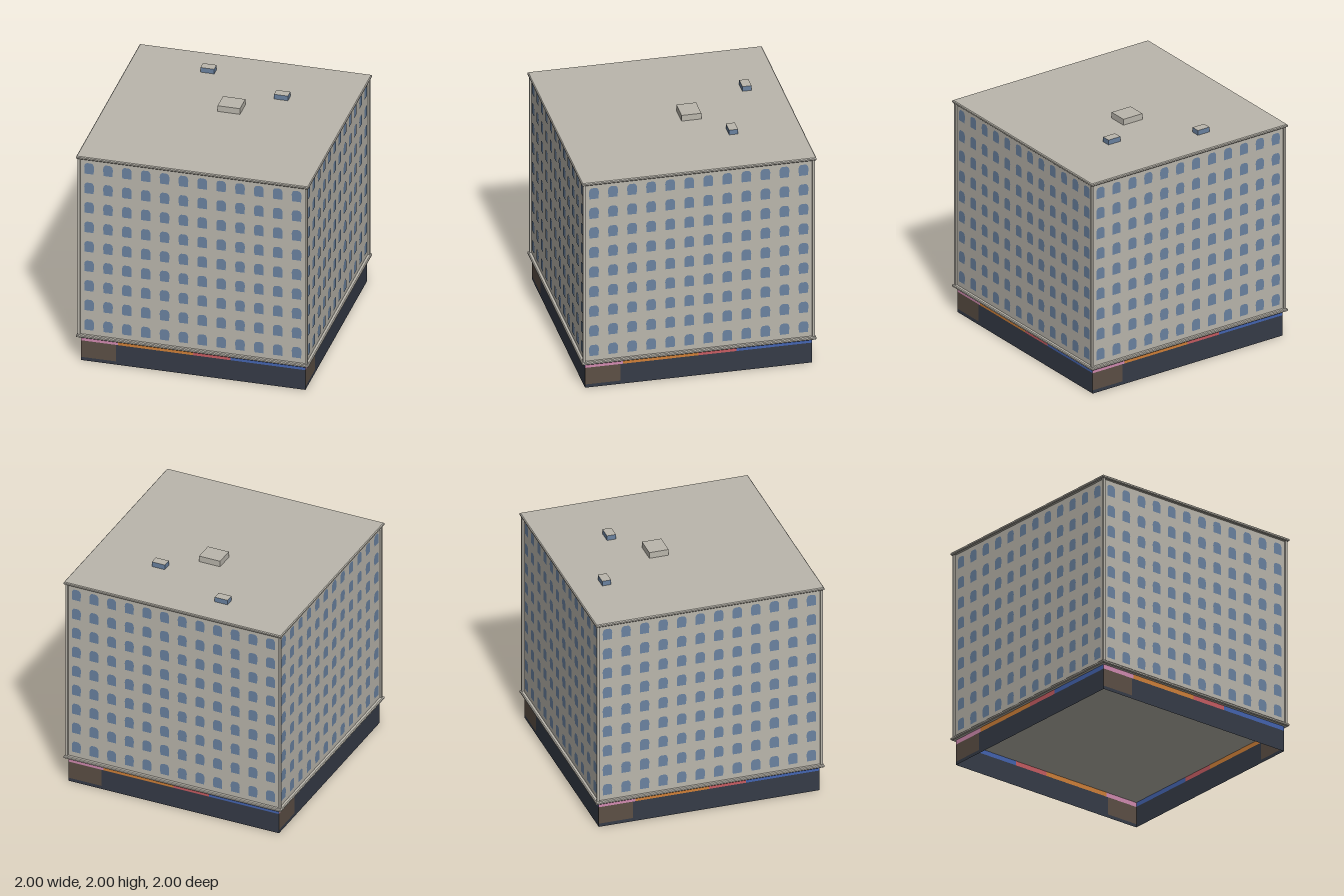
import * as THREE from 'three';
import { mergeGeometries } from 'three/addons/utils/BufferGeometryUtils.js';

const mat = (name, color, extra = {}) => {
  const m = new THREE.MeshStandardMaterial({ color, ...extra });
  m.name = name;
  return m;
};
const open = { side: THREE.DoubleSide };

export function createModel() {
  const stone = mat('stone', 0xbab6ac);
  const glass = mat('glass', 0x6a82a0);
  const shopfront = mat('dark shopfront', 0x353b47, open);
  const door = mat('brown door', 0x5c4f45, open);
  const pink = mat('pink awning', 0xd18bb0, open);
  const orange = mat('orange awning', 0xce7f38, open);
  const red = mat('red awning', 0xc65c62, open);
  const blue = mat('blue awning', 0x4464b0, open);

  const model = new THREE.Group();
  model.name = 'apartmentBlock';

  const add = (parent, name, geometry, material, x = 0, y = 0, z = 0) => {
    const mesh = new THREE.Mesh(geometry, material);
    mesh.name = name;
    mesh.position.set(x, y, z);
    parent.add(mesh);
    return mesh;
  };
  const box = (name, x0, x1, y0, y1, z0, z1, material) =>
    add(model, name, new THREE.BoxGeometry(x1 - x0, y1 - y0, z1 - z0), material,
      (x0 + x1) / 2, (y0 + y1) / 2, (z0 + z1) / 2);

  // Main block and its corner posts
  box('mainWalls', -0.972, 0.972, 0.25, 1.925, -0.972, 0.972, stone);
  for (const sx of [-1, 1]) for (const sz of [-1, 1]) {
    add(model, 'cornerPost', new THREE.BoxGeometry(0.021, 1.675, 0.021), stone,
      sx * 0.978, 1.0875, sz * 0.978);
  }

  // Square slabs with softened edges: lower ledge and roof
  const slab = (name, y0, y1) => {
    const profile = [[0, y0], [0.993, y0], [1, y0 + 0.007], [1, y1 - 0.007], [0.993, y1], [0, y1]]
      .map(([r, y]) => new THREE.Vector2(r * Math.SQRT2, y));
    const g = new THREE.LatheGeometry(profile, 4).rotateY(Math.PI / 4).toNonIndexed();
    g.computeVertexNormals();
    add(model, name, g, stone);
  };
  slab('lowerLedge', 0.227, 0.253);
  slab('roofSlab', 1.92, 1.946);

  // Roof housings
  const glazed = [glass, glass, stone, stone, glass, glass];
  box('stairHousing', -0.07, 0.123, 1.946, 2.0, -0.222, -0.053, stone);
  box('roofVent', -0.385, -0.267, 1.946, 1.99, -0.74, -0.663, glazed);
  box('roofVent', 0.325, 0.445, 1.946, 1.99, -0.46, -0.383, glazed);

  // Arched window outline, centred on its bay
  const arch = new THREE.Shape();
  arch.moveTo(-0.039, -0.051);
  arch.lineTo(0.039, -0.051);
  arch.lineTo(0.042, 0.012);
  arch.bezierCurveTo(0.041, 0.036, 0.03, 0.051, 0.014, 0.051);
  arch.lineTo(-0.014, 0.051);
  arch.bezierCurveTo(-0.03, 0.051, -0.041, 0.036, -0.042, 0.012);
  const pane = new THREE.ShapeGeometry(arch, 5);
  const panes = [];
  for (let row = 0; row < 9; row++) {
    for (let col = 0; col < 12; col++) {
      panes.push(pane.clone().translate((col - 5.5) * 0.1624, 0.349 + row * 0.1852, 0));
    }
  }
  const windowGrid = mergeGeometries(panes);

  // Ground floor panels of one side: name, x0, x1, y0, y1, material
  const E = 0.967, top = 0.228, sill = 0.187;
  const panels = [
    ['shopfront', -0.665, E, 0, sill, shopfront],
    ['doorStep', -E, -0.665, 0, 0.03, shopfront],
    ['door', -E, -0.665, 0.03, sill, door],
    ['pinkAwning', -E, -0.645, sill, top, pink],
    ['orangeAwning', -0.645, -0.002, sill, top, orange],
    ['redAwning', -0.002, 0.322, sill, top, red],
    ['blueAwning', 0.322, E, sill, top, blue],
  ];

  // The same facade on all four sides
  ['front', 'left', 'back', 'right'].forEach((side, i) => {
    const facade = new THREE.Group();
    facade.name = side + 'Facade';
    facade.rotation.y = i * Math.PI / 2;
    add(facade, 'windows', windowGrid, glass, 0, 0, 0.975);
    for (const [name, x0, x1, y0, y1, material] of panels) {
      add(facade, name, new THREE.PlaneGeometry(x1 - x0, y1 - y0), material,
        (x0 + x1) / 2, (y0 + y1) / 2, E);
    }
    model.add(facade);
  });

  return model;
}
